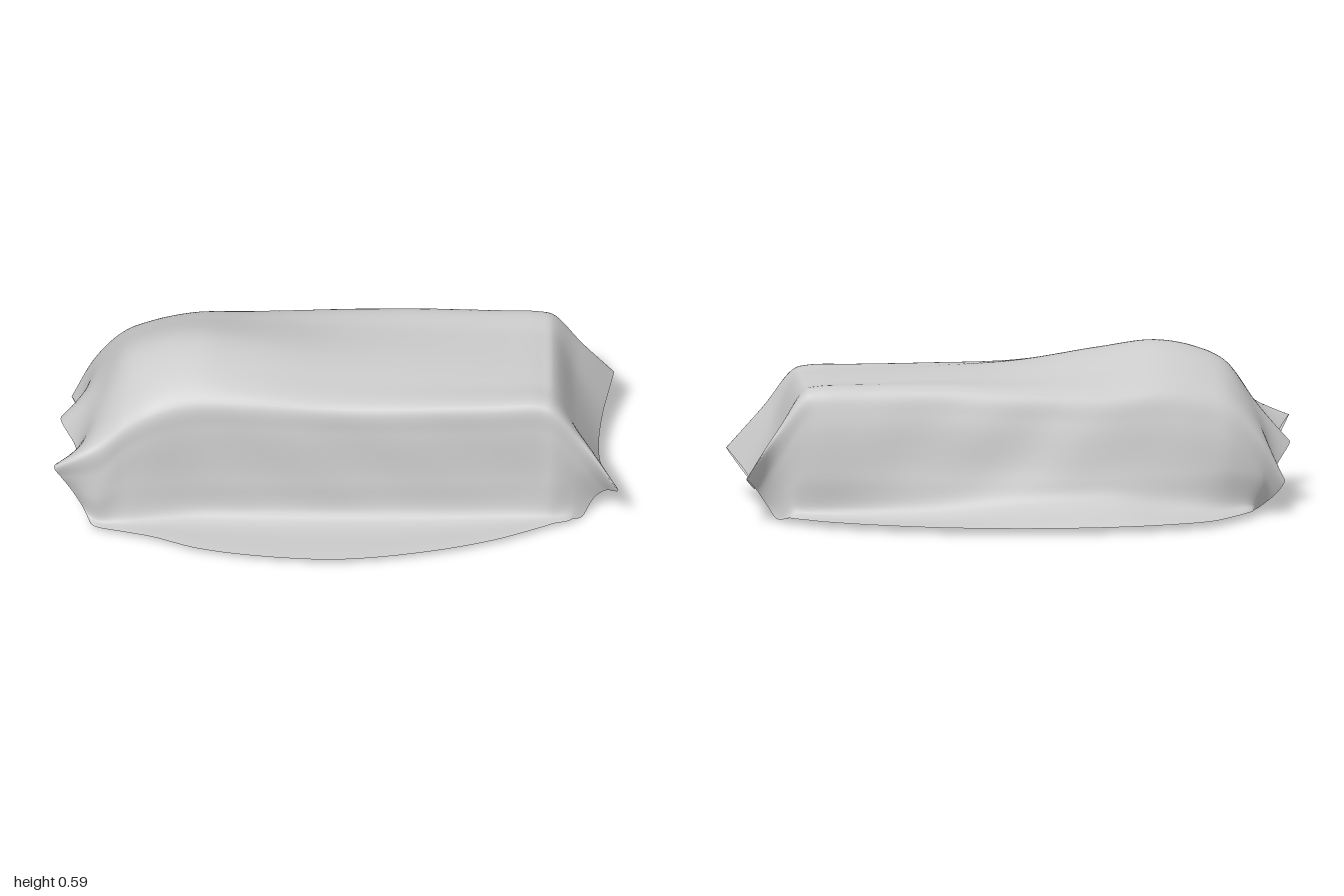
import * as THREE from 'three';

const mat = new THREE.MeshStandardMaterial({ color: 0xcccccc, side: THREE.DoubleSide });
const lerp = THREE.MathUtils.lerp;
const V = (x, y, z) => new THREE.Vector3(x, y, z);

// x, ridge height, back shoulder z/y, front shoulder z/y, back hem z, front hem z
const stations = [
  [-0.85, 0.365, -0.25, 0.28, 0.34, 0.325, -0.28, 0.405],
  [-0.75, 0.505, -0.255, 0.39, 0.32, 0.40, -0.39, 0.435],
  [-0.65, 0.556, -0.265, 0.43, 0.31, 0.455, -0.50, 0.465],
  [-0.5, 0.585, -0.28, 0.455, 0.295, 0.485, -0.56, 0.53],
  [-0.3, 0.56, -0.30, 0.445, 0.30, 0.485, -0.60, 0.575],
  [0, 0.512, -0.30, 0.455, 0.305, 0.465, -0.605, 0.60],
  [0.3, 0.493, -0.28, 0.472, 0.305, 0.465, -0.56, 0.56],
  [0.55, 0.482, -0.27, 0.472, 0.30, 0.467, -0.475, 0.49],
  [0.72, 0.474, -0.265, 0.47, 0.295, 0.468, -0.39, 0.415],
  [0.77, 0.46, -0.265, 0.457, 0.30, 0.452, -0.35, 0.39],
];

// Ends of the sheet: back hem, folded corner, lower edge, folded corner, front hem
const rightSlope = [
  [0.81, 0.022, -0.32], [0.82, 0.04, -0.285], [0.84, 0.11, -0.265], [0.86, 0.22, -0.265],
  [0.872, 0.325, -0.272], [0.855, 0.28, -0.14], [0.85, 0.27, 0.02], [0.855, 0.28, 0.17],
  [0.872, 0.325, 0.312], [0.86, 0.23, 0.315], [0.84, 0.13, 0.315], [0.83, 0.03, 0.335], [0.82, 0.022, 0.375],
];
const rightEnd = [
  [0.83, 0.022, -0.30], [0.87, 0.01, -0.24], [0.90, 0.05, -0.20], [0.94, 0.11, -0.21],
  [0.985, 0.165, -0.315], [0.945, 0.105, -0.15], [0.93, 0.085, 0.02], [0.945, 0.11, 0.19],
  [0.998, 0.165, 0.388], [0.95, 0.10, 0.30], [0.91, 0.05, 0.28], [0.87, 0.0, 0.32], [0.84, 0.022, 0.36],
];
const leftEnd = [
  [-0.82, 0.022, -0.26], [-0.84, 0.022, -0.22], [-0.87, 0.04, -0.205], [-0.905, 0.07, -0.21],
  [-0.935, 0.12, -0.235], [-0.91, 0.14, -0.12], [-0.975, 0.22, 0.03], [-0.92, 0.18, 0.16],
  [-1.0, 0.26, 0.37], [-0.975, 0.21, 0.36], [-0.94, 0.145, 0.345], [-0.9, 0.075, 0.35], [-0.87, 0.022, 0.385],
];

// One draped section from the back hem over the ridge to the front hem
function section([x, top, zb, yb, zf, yf, hb, hf]) {
  const hx = Math.max(x, -0.82);
  const low = Math.min(0.17, yb * 0.45);
  const slack = Math.exp(-(((x + 0.2) / 0.35) ** 2));
  return [
    V(hx, 0.022, hb), V(hx, 0.04 + 0.05 * slack, lerp(zb, hb, 0.4)),
    V(x, low, zb - Math.min(0.065 + 0.02 * slack, (zb - hb) * 0.4)), V(x, yb - 0.1, zb - Math.min(0.04, (zb - hb) * 0.3)),
    V(x, yb, zb), V(x, lerp(yb, top, 0.58), zb * 0.5), V(x, top, 0.03),
    V(x, lerp(yf, top, 0.75), zf * 0.57), V(x, yf, zf),
    V(x, yf - 0.1, zf + 0.02), V(x, low, zf + 0.035),
    V(x, 0.035, zf + Math.min(0.065, (hf - zf) * 0.6)), V(x, 0.022, hf),
  ];
}

// Smooth sheet through the sections, with soft folds on the walls
function drapedCover() {
  const toV = p => V(...p);
  const rows = [leftEnd.map(toV), ...stations.map(section), rightSlope.map(toV), rightEnd.map(toV)];
  const NX = 120, NU = 96;
  const rails = rows[0].map((_, i) => new THREE.CatmullRomCurve3(rows.map(r => r[i]), false, 'centripetal'));
  const pos = [], index = [];
  for (let j = 0; j <= NX; j++) {
    const ring = new THREE.CatmullRomCurve3(rails.map(c => c.getPoint(j / NX)), false, 'centripetal');
    for (let i = 0; i <= NU; i++) {
      const p = ring.getPoint(i / NU);
      const wall = Math.max(0, Math.sin(Math.PI * (p.y - 0.05) / 0.42)) * Math.max(0, 1 - Math.abs(p.x) / 0.85);
      p.z += wall * 0.005 * Math.sin(p.x * 15 + p.y * 9 + Math.sign(p.z));
      pos.push(p.x, Math.max(0, p.y), p.z);
      if (i < NU && j < NX) {
        const a = j * (NU + 1) + i, b = a + NU + 1;
        index.push(a, a + 1, b, a + 1, b + 1, b);
      }
    }
  }
  const g = new THREE.BufferGeometry();
  g.setAttribute('position', new THREE.Float32BufferAttribute(pos, 3));
  g.setIndex(index);
  g.computeVertexNormals();
  return g;
}

// Bent flat strap: side profile in z/y, extruded across x
function strap(points, width, thick) {
  const s = new THREE.Shape();
  points.forEach(([z, y], i) => (i ? s.lineTo(z, y) : s.moveTo(z, y)));
  [...points].reverse().forEach(([z, y]) => s.lineTo(z, y + thick));
  const g = new THREE.ExtrudeGeometry(s, { depth: width, bevelEnabled: false });
  g.translate(0, 0, -width / 2);
  g.rotateY(-Math.PI / 2);
  return g;
}

function part(parent, name, geometry) {
  const m = new THREE.Mesh(geometry, mat);
  m.name = name;
  parent.add(m);
  return m;
}

export function createModel() {
  const model = new THREE.Group();
  model.name = 'coveredBody';
  part(model, 'drapedCover', drapedCover());

  // Two fasteners beneath the cover
  for (const x of [-0.48, 0.5]) {
    const f = new THREE.Group();
    f.name = 'fastener';
    const profile = [[0, 0.055], [0.018, 0.058], [0.05, 0.072], [0.055, 0.078], [0.055, 0.085], [0.051, 0.09],
      [0.051, 0.15], [0.06, 0.155], [0.06, 0.17], [0.045, 0.18], [0, 0.18]];
    part(f, 'hub', new THREE.LatheGeometry(profile.map(p => new THREE.Vector2(...p)), 20));
    part(f, 'frontStrap', strap([[0.035, 0.115], [0.11, 0.105], [0.135, 0.07], [0.19, 0.045], [0.23, 0.028]], 0.06, 0.012));
    part(f, 'backLever', strap([[-0.035, 0.115], [-0.1, 0.105], [-0.13, 0.07], [-0.18, 0.045], [-0.22, 0.028]], 0.035, 0.012));
    f.position.set(x, 0, 0.035);
    model.add(f);
  }
  return model;
}
